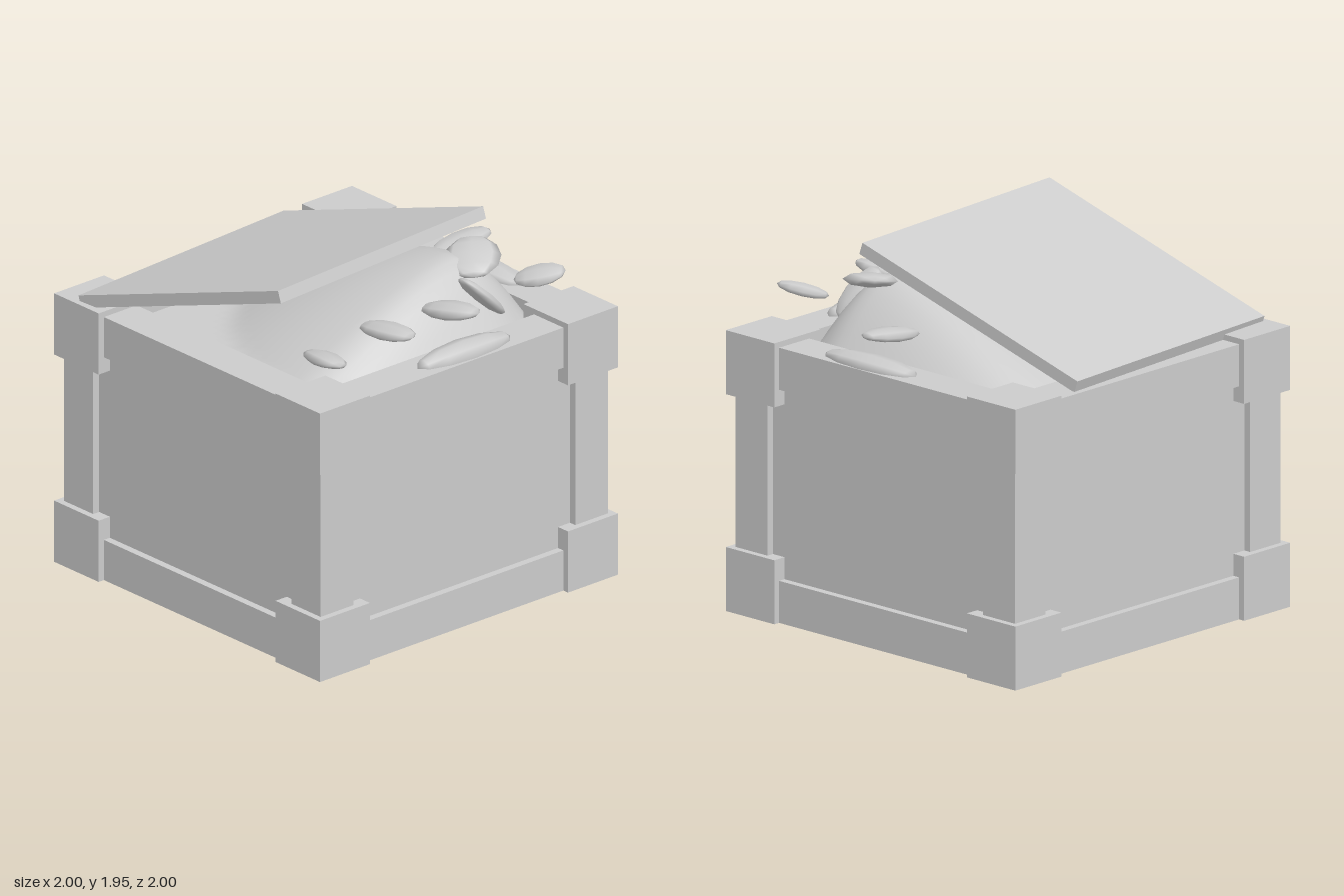
import * as THREE from 'three';
import { mergeGeometries } from 'three/addons/utils/BufferGeometryUtils.js';

const grey = new THREE.MeshStandardMaterial({ color: 0xcccccc, side: THREE.DoubleSide });
grey.name = 'plain grey';

// crate measurements: half widths and heights
const PANEL = 0.925, FRAME = 0.965, BLOCK = 1;
const POST_IN = 0.745, BLOCK_IN = 0.665;
const RAIL_H = 0.22, BLOCK_H = 0.335, RIM = 1.44, TOP = 1.47;

function mesh(name, geometry) {
  const m = new THREE.Mesh(geometry, grey);
  m.name = name;
  return m;
}

function quad(...corners) {
  const [a, b, c, d] = corners;
  const g = new THREE.BufferGeometry();
  g.setAttribute('position', new THREE.Float32BufferAttribute([a, b, c, a, c, d].flat(), 3));
  g.computeVertexNormals();
  return g;
}
// upright face looking along +z, upright face at constant x, level face
const face = (x0, x1, y0, y1, z) => quad([x0, y0, z], [x1, y0, z], [x1, y1, z], [x0, y1, z]);
const cheek = (x, y0, y1, z0, z1) => x > 0
  ? quad([x, y0, z0], [x, y0, z1], [x, y1, z1], [x, y1, z0])
  : quad([x, y0, z1], [x, y0, z0], [x, y1, z0], [x, y1, z1]);
const level = (x0, x1, y, z0, z1, up) => up
  ? quad([x0, y, z1], [x1, y, z1], [x1, y, z0], [x0, y, z0])
  : quad([x0, y, z0], [x1, y, z0], [x1, y, z1], [x0, y, z1]);

// square ledge with a hole where the post passes through
function ledge(y, up) {
  const square = (Type, a, b) => new Type([[a, a], [b, a], [b, b], [a, b]].map(p => new THREE.Vector2(...p)));
  const s = square(THREE.Shape, BLOCK_IN, BLOCK);
  s.holes.push(square(THREE.Path, POST_IN, FRAME));
  const g = new THREE.ShapeGeometry(s);
  if (up) g.rotateX(-Math.PI / 2).translate(0, y, 0);
  else g.rotateX(Math.PI / 2).translate(0, y, 0);
  return g;
}

// one wall with its rails, half posts and half corner blocks
function crateSide() {
  const side = new THREE.Group();
  side.name = 'crateSide';
  const railTop = RIM - RAIL_H;
  side.add(mesh('panel', face(-POST_IN, POST_IN, RAIL_H, railTop, PANEL)));
  side.add(mesh('bottomRail', mergeGeometries([
    face(-BLOCK_IN, BLOCK_IN, 0, RAIL_H, FRAME),
    level(-POST_IN, POST_IN, RAIL_H, PANEL, FRAME, true)])));
  side.add(mesh('topRail', mergeGeometries([
    face(-BLOCK_IN, BLOCK_IN, railTop, RIM, FRAME),
    level(-POST_IN, POST_IN, railTop, PANEL, FRAME, false),
    level(-POST_IN, POST_IN, RIM, POST_IN, FRAME, true),
    quad([POST_IN, 1.28, POST_IN], [-POST_IN, 1.28, POST_IN], [-POST_IN, RIM, POST_IN], [POST_IN, RIM, POST_IN])])));
  for (const s of [-1, 1]) {
    const span = (a, b) => s > 0 ? [a, b] : [-b, -a];
    side.add(mesh('post', mergeGeometries([
      face(...span(POST_IN, FRAME), BLOCK_H, TOP - BLOCK_H, FRAME),
      cheek(-s * -POST_IN, BLOCK_H, TOP - BLOCK_H, PANEL, FRAME)])));
    side.add(mesh('cornerBlock', mergeGeometries([
      face(...span(BLOCK_IN, BLOCK), 0, BLOCK_H, BLOCK),
      face(...span(BLOCK_IN, BLOCK), TOP - BLOCK_H, TOP, BLOCK),
      cheek(s * BLOCK_IN, 0, BLOCK_H, PANEL, BLOCK),
      cheek(s * BLOCK_IN, TOP - BLOCK_H, TOP, PANEL, BLOCK),
      cheek(s * BLOCK_IN, RIM - 0.05, TOP, BLOCK_IN, PANEL)])));
  }
  // level faces of the blocks at one corner
  side.add(mesh('blockTop', level(BLOCK_IN, BLOCK, TOP, BLOCK_IN, BLOCK, true)));
  const low = mesh('lowerBlockLedge', ledge(BLOCK_H, true));
  low.rotation.y = Math.PI / 2;
  side.add(low, mesh('upperBlockLedge', ledge(TOP - BLOCK_H, false)));
  return side;
}

// lopsided mound filling the crate
function heap() {
  const g = new THREE.PlaneGeometry(2 * POST_IN, 2 * POST_IN, 28, 28).rotateX(-Math.PI / 2);
  const p = g.attributes.position;
  for (let i = 0; i < p.count; i++) {
    const dx = p.getX(i) - 0.45, dz = p.getZ(i) + 0.4;
    const r = Math.hypot(dx / (dx < 0 ? 1.15 : 0.36), dz / (dz > 0 ? 1.1 : 0.41));
    p.setY(i, 1.32 + 0.43 * (1 - Math.min(1, r) ** 1.5));
  }
  g.computeVertexNormals();
  return mesh('heap', g);
}

// pointed pod lying along its own x axis
const podShape = new THREE.SphereGeometry(0.5, 8, 6).rotateZ(Math.PI / 2);
const pods = [ // position, size, rotation
  [[0.13, 1.44, -0.86], [0.62, 0.1, 0.2], [0, 0, 0]],
  [[0.86, 1.44, -0.09], [0.62, 0.13, 0.19], [0, Math.PI / 2, 0]],
  [[0.08, 1.59, -0.77], [0.36, 0.07, 0.19], [0, 1.5, 0.12]],
  [[0.77, 1.66, -0.68], [0.27, 0.07, 0.2], [0.2, 0.75, 0.1]],
  [[0.49, 1.725, -0.48], [0.33, 0.08, 0.29], [0.1, -0.7, -0.2]],
  [[0.75, 1.63, -0.1], [0.36, 0.08, 0.17], [0.1, 0.2, 0.15]],
  [[0.68, 1.6, 0.26], [0.39, 0.07, 0.17], [0.1, 0, 0.14]],
  [[0.69, 1.575, 0.69], [0.36, 0.07, 0.18], [-0.15, -0.3, 0.12]],
  [[0.67, 1.6, -0.38], [0.33, 0.07, 0.19], [-0.8, 1.4, 0]],
];

export function createModel() {
  const model = new THREE.Group();
  model.name = 'openCrate';
  for (let i = 0; i < 4; i++) {
    const side = crateSide();
    side.rotation.y = i * Math.PI / 2;
    model.add(side);
  }
  model.add(heap());

  // lid tipped open
  const lid = mesh('lid', new THREE.BoxGeometry(1.47, 0.065, 1.47));
  lid.position.set(-0.195, 1.695, 0.187);
  lid.rotation.set(0, 0.068, 0.315);
  model.add(lid);

  for (const [pos, size, rot] of pods) {
    const pod = mesh('pod', podShape);
    pod.position.set(...pos);
    pod.scale.set(...size);
    pod.rotation.set(...rot);
    model.add(pod);
  }
  return model;
}
